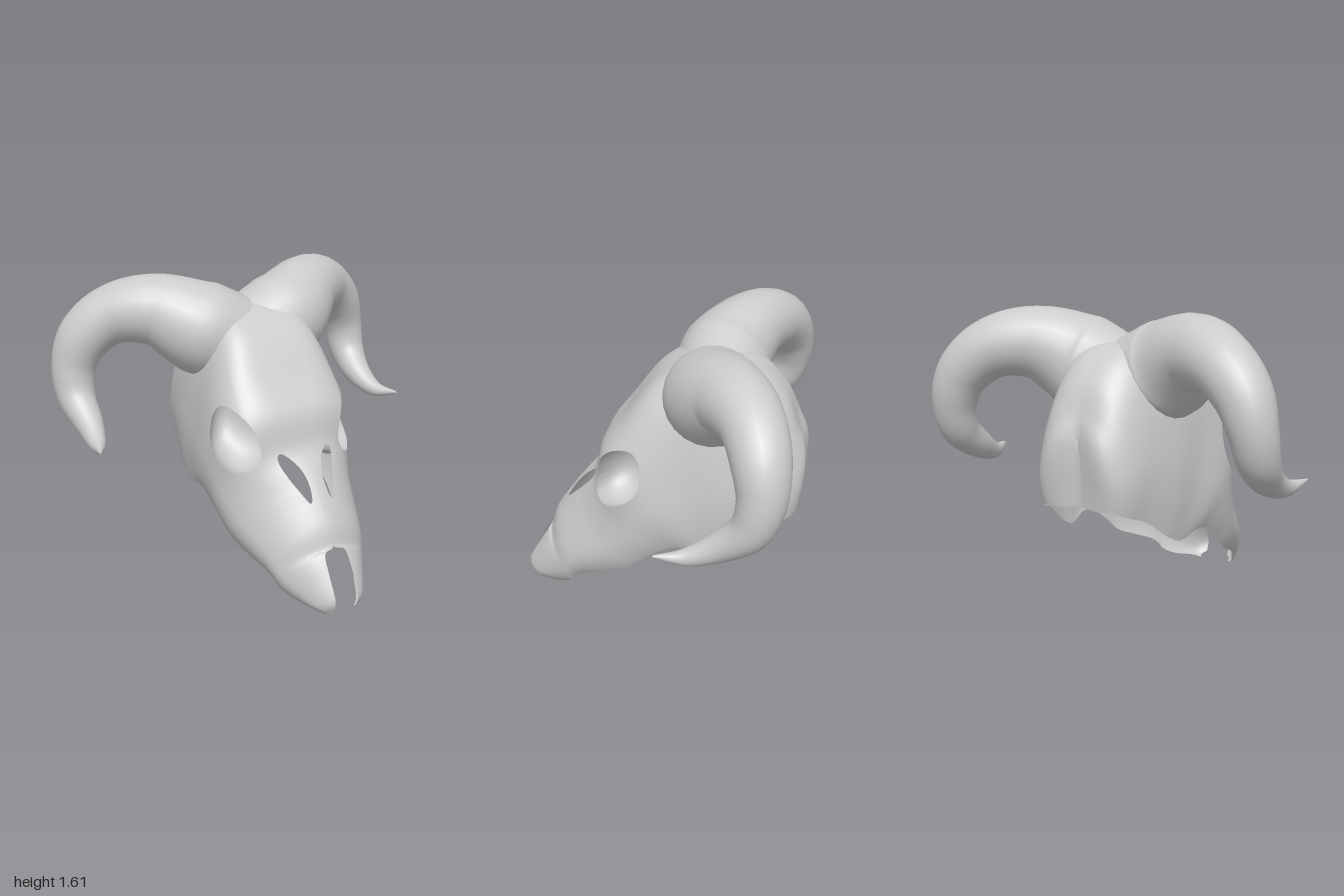
import * as THREE from 'three';
import { mergeGeometries, mergeVertices, toCreasedNormals } from 'three/addons/utils/BufferGeometryUtils.js';

const material = new THREE.MeshStandardMaterial({ color: 0xcccccc, side: THREE.DoubleSide });

// Arched cross-sections from snout tip to back of the head:
// lower rim z, y | crest z, y | half width | half gap at the middle | roundness
const sections = [
  [0.72, 0.0, 0.78, 0.04, 0.1, 0.07, 1],
  [0.68, 0.02, 0.795, 0.11, 0.15, 0.07, 1],
  [0.57, 0.05, 0.722, 0.24, 0.22, 0.07, 1],
  [0.50, 0.09, 0.67, 0.32, 0.265, 0.06, 1.1],
  [0.47, 0.13, 0.648, 0.34, 0.285, 0, 1.2],
  [0.42, 0.17, 0.61, 0.45, 0.31, 0, 1.2],
  [0.30, 0.22, 0.51, 0.60, 0.355, 0, 1.2],
  [0.16, 0.28, 0.44, 0.69, 0.39, 0, 1.1],
  [0.04, 0.38, 0.36, 0.79, 0.41, 0, 0.85],
  [-0.08, 0.45, 0.31, 0.96, 0.415, 0, 0.52],
  [-0.18, 0.46, 0.20, 1.11, 0.41, 0, 0.38],
  [-0.30, 0.43, 0.01, 1.35, 0.385, 0, 0.36],
  [-0.42, 0.48, -0.22, 1.45, 0.37, 0, 0.4],
  [-0.56, 0.58, -0.48, 1.42, 0.33, 0, 0.6],
  [-0.67, 0.62, -0.64, 1.28, 0.29, 0, 0.75],
  [-0.73, 0.65, -0.71, 1.1, 0.23, 0, 0.75],
  [-0.74, 0.65, -0.725, 1.02, 0.13, 0, 0.8],
  [-0.72, 0.66, -0.725, 0.98, 0, 0, 1],
];
const LAST = sections.length - 1;

// Openings as leaning ellipses in (section, arch) space
const socket = { s: 9.05, u: 0.56, rs: 1.15, ru: 0.19, lean: -0.03 };
const nostril = { s: 6.85, u: 0.83, rs: 1.15, ru: 0.065, lean: -0.008 };
const reach = (h, s, u) => Math.hypot((s - h.s) / h.rs, (u - h.u - h.lean * (s - h.s)) / h.ru);
// Scale a point's distance from the middle of an opening
function spread(h, s, u, k) {
  const ds = s - h.s, du = u - h.u - h.lean * ds;
  return [h.s + ds * k, h.u + du * k + h.lean * ds * k];
}

function sectionAt(s) {
  const i = Math.min(Math.floor(s), LAST - 1), t = s - i;
  const row = (k) => sections[Math.max(0, Math.min(LAST, k))];
  return sections[0].map((_, c) => {
    const [a, b, d, e] = [row(i - 1)[c], row(i)[c], row(i + 1)[c], row(i + 2)[c]];
    return b + 0.5 * t * (d - a + t * (2 * a - 5 * b + 4 * d - e + t * (3 * (b - d) + e - a)));
  });
}

// Point on the left half: rim tucked in, swollen at the eye and the back of the head
function outerPoint(s, u) {
  const [bz, by, tz, ty, w, g, p] = sectionAt(s);
  const width = Math.max(w, 1e-6), gap = Math.max(0, Math.min(1, g / width));
  const a = u * Math.acos(Math.pow(gap, 1 / p)), h = Math.sin(a);
  const across = u >= 1 ? gap : Math.pow(Math.cos(a), p);
  const tuck = 1 - 0.13 * Math.max(0, 1 - h / 0.4) ** 2;
  const brow = 0.035 * Math.exp(-(reach(socket, s, u) ** 2) / 2.5) * Math.min(1, 4 * (1 - u));
  const lobe = 0.04 * Math.exp(-((s - 15.6) ** 2)) * Math.sin(2 * a);
  return [
    width * across * tuck + brow,
    by + (ty - by) * h,
    bz + (tz - bz) * h + 0.3 * brow - lobe,
  ];
}

// The eye socket is pressed in as a ball wider than its rim
function skullPoint(s, u) {
  const r = reach(socket, s, u);
  if (r >= 1 || r === 0) return outerPoint(s, u);
  const open = 2.1, angle = r * open;
  const [bs, bu] = spread(socket, s, u, Math.sin(angle) / Math.sin(open) / r);
  const depth = 0.185 * (Math.cos(angle) - Math.cos(open));
  const [x, y, z] = outerPoint(bs, bu);
  return [x - 0.72 * depth, y, z - 0.68 * depth];
}

function halfSkull() {
  const per = 8, ns = LAST * per, nu = 64, pos = [], index = [];
  const inside = (hole, i, j) => reach(hole, i / per, j / nu) < 1;
  for (let i = 0; i <= ns; i++) {
    for (let j = 0; j <= nu; j++) {
      let s = i / per, u = j / nu;
      // Draw the innermost ring of grid points out to a clean rim
      for (const hole of [socket, nostril]) {
        if (!inside(hole, i, j)) continue;
        let onRim = false;
        for (let di = -1; di <= 1; di++)
          for (let dj = -1; dj <= 1; dj++) onRim ||= !inside(hole, i + di, j + dj);
        const r = reach(hole, s, u);
        if (onRim && r > 0) [s, u] = spread(hole, s, u, 1.0001 / r);
      }
      pos.push(...skullPoint(s, u));
    }
  }
  const face = (...corners) => {
    if (corners.every(([i, j]) => inside(nostril, i, j))) return;
    index.push(...corners.map(([i, j]) => i * (nu + 1) + j));
  };
  for (let i = 0; i < ns; i++) {
    for (let j = 0; j < nu; j++) {
      face([i, j], [i + 1, j], [i, j + 1]);
      face([i + 1, j], [i + 1, j + 1], [i, j + 1]);
    }
  }
  const geo = new THREE.BufferGeometry();
  geo.setAttribute('position', new THREE.Float32BufferAttribute(pos, 3));
  geo.setIndex(index);
  return geo;
}

// Reflection in x with the corner order restored
function mirrored(source) {
  const geo = source.clone().scale(-1, 1, 1), ix = geo.index.array;
  for (let k = 0; k < ix.length; k += 3) [ix[k], ix[k + 1]] = [ix[k + 1], ix[k]];
  return geo;
}

// Tapering horn: x, y, z, radius along its curl
function hornGeometry() {
  const path = [
    [0.06, 1.21, -0.28, 0.255], [0.27, 1.32, -0.295, 0.255], [0.48, 1.415, -0.41, 0.193],
    [0.68, 1.385, -0.53, 0.16], [0.82, 1.26, -0.59, 0.143], [0.88, 1.1, -0.605, 0.12],
    [0.89, 0.95, -0.56, 0.105], [0.88, 0.835, -0.42, 0.078], [0.9, 0.77, -0.26, 0.045],
    [0.945, 0.785, -0.11, 0.006],
  ];
  const curve = new THREE.CatmullRomCurve3(path.map(([x, y, z]) => new THREE.Vector3(x, y, z)));
  const steps = 64, sides = 24;
  const geo = new THREE.TubeGeometry(curve, steps, 1, sides);
  const p = geo.attributes.position, v = new THREE.Vector3();
  for (let i = 0; i <= steps; i++) {
    const centre = curve.getPointAt(i / steps);
    const t = curve.getUtoTmapping(i / steps) * (path.length - 1);
    const k = Math.min(Math.floor(t), path.length - 2);
    const radius = THREE.MathUtils.lerp(path[k][3], path[k + 1][3], t - k);
    for (let j = 0; j <= sides; j++) {
      const n = i * (sides + 1) + j;
      v.fromBufferAttribute(p, n).sub(centre).multiplyScalar(radius).add(centre);
      p.setXYZ(n, v.x, v.y, v.z);
    }
  }
  geo.deleteAttribute('uv');
  geo.deleteAttribute('normal');
  return mergeVertices(geo);
}

export function createModel() {
  const model = new THREE.Group();
  model.name = 'hornedSkull';
  const add = (name, geo) => {
    const mesh = new THREE.Mesh(geo, material);
    mesh.name = name;
    model.add(mesh);
  };

  // Hollow skull, open underneath
  const half = halfSkull();
  const shell = mergeVertices(mergeGeometries([half, mirrored(half)]));
  add('skull', toCreasedNormals(shell, 0.8));

  // Pair of horns
  const horn = hornGeometry();
  const other = mirrored(horn);
  horn.computeVertexNormals();
  other.computeVertexNormals();
  add('leftHorn', horn);
  add('rightHorn', other);
  return model;
}
